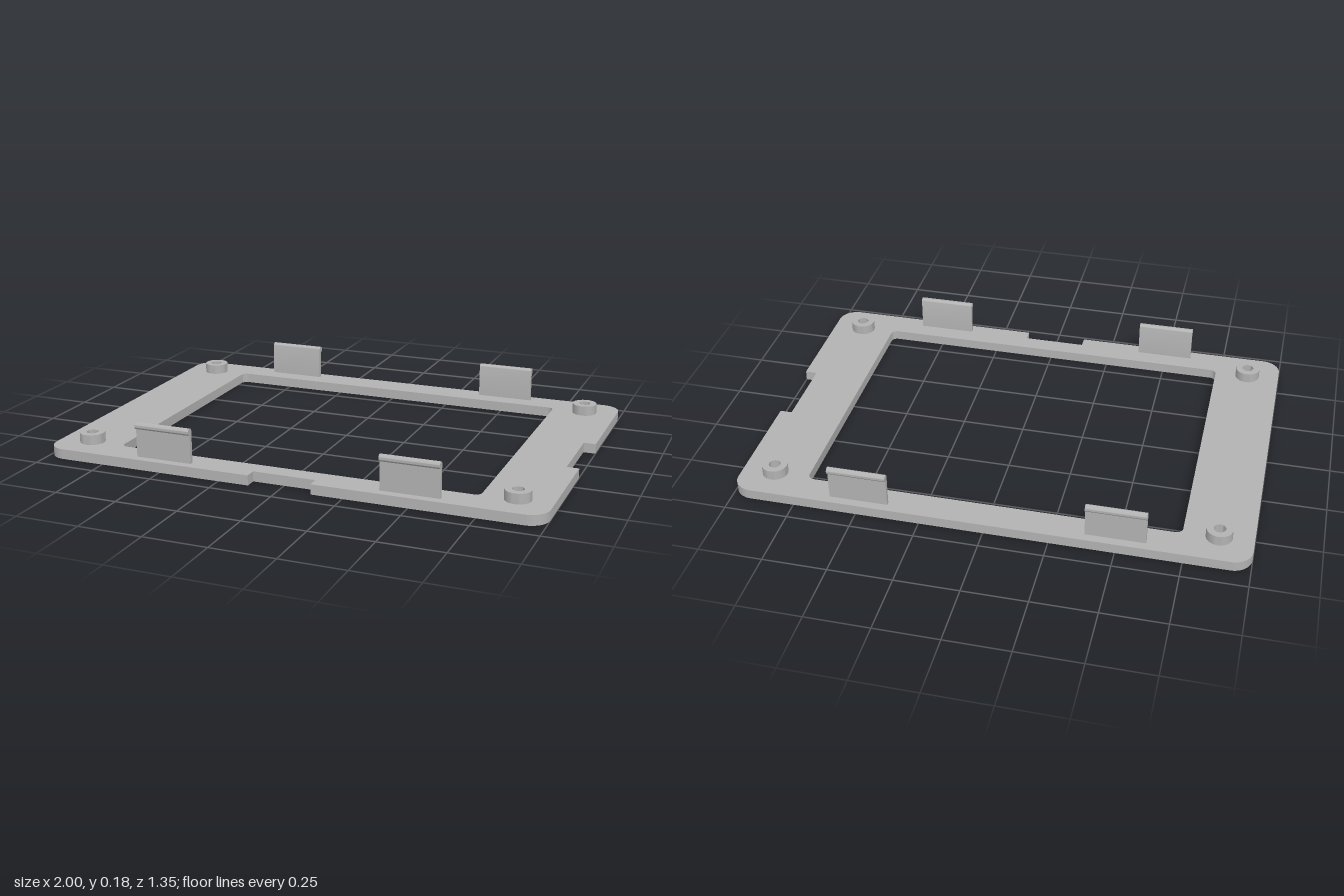
import * as THREE from 'three';
import { toCreasedNormals } from 'three/addons/utils/BufferGeometryUtils.js';

const PLATE = 0.04, HX = 1, HZ = 0.677;

// Rectangle with rounded corners, traced as a closed outline
function roundedRect(path, hx, hy, r) {
  path.moveTo(-hx + r, -hy);
  path.lineTo(hx - r, -hy);
  path.absarc(hx - r, -hy + r, r, -Math.PI / 2, 0);
  path.lineTo(hx, hy - r);
  path.absarc(hx - r, hy - r, r, 0, Math.PI / 2);
  path.lineTo(-hx + r, hy);
  path.absarc(-hx + r, hy - r, r, Math.PI / 2, Math.PI);
  path.lineTo(-hx, -hy + r);
  path.absarc(-hx + r, -hy + r, r, Math.PI, Math.PI * 1.5);
  return path;
}

// Flat frame with a window and two edge notches (shape y is -z)
function frameGeometry() {
  const r = 0.075, s = new THREE.Shape();
  s.moveTo(-HX + r, -HZ);
  // front notch
  s.lineTo(-0.126, -HZ);
  s.lineTo(-0.126, -0.63);
  s.lineTo(0.126, -0.63);
  s.lineTo(0.126, -HZ);
  s.lineTo(HX - r, -HZ);
  s.absarc(HX - r, -HZ + r, r, -Math.PI / 2, 0);
  // side notch
  s.lineTo(HX, -0.151);
  s.lineTo(0.952, -0.151);
  s.lineTo(0.952, 0.151);
  s.lineTo(HX, 0.151);
  s.lineTo(HX, HZ - r);
  s.absarc(HX - r, HZ - r, r, 0, Math.PI / 2);
  s.lineTo(-HX + r, HZ);
  s.absarc(-HX + r, HZ - r, r, Math.PI / 2, Math.PI);
  s.lineTo(-HX, -HZ + r);
  s.absarc(-HX + r, -HZ + r, r, Math.PI, Math.PI * 1.5);
  s.holes.push(roundedRect(new THREE.Path(), 0.733, 0.556, 0.025));
  const g = new THREE.ExtrudeGeometry(s, { depth: PLATE, bevelEnabled: false, curveSegments: 12 });
  return toCreasedNormals(g.rotateX(-Math.PI / 2), 0.6);
}

// Upright tab with a rounded bead on its outer side, profile in (z, y)
function clipGeometry() {
  const length = 0.23, inner = 0.628, outer = 0.6435, r = 0.014, cy = 0.166;
  const s = new THREE.Shape();
  s.moveTo(inner, PLATE);
  s.lineTo(outer, PLATE);
  s.lineTo(outer, cy - r);
  s.absarc(inner + r, cy, r, -Math.PI / 2 + 0.1, Math.PI);
  s.lineTo(inner, PLATE);
  const g = new THREE.ExtrudeGeometry(s, { depth: length, bevelEnabled: false, curveSegments: 16 });
  return toCreasedNormals(g.translate(0, 0, -length / 2).rotateY(-Math.PI / 2), 0.6);
}

// Round boss with a blind hole
function bossGeometry() {
  const profile = [[0.05, PLATE], [0.05, 0.08], [0.023, 0.08], [0.023, PLATE + 0.001], [0, PLATE + 0.001]];
  const g = new THREE.LatheGeometry(profile.map(([x, y]) => new THREE.Vector2(x, y)), 32);
  return toCreasedNormals(g, 0.6);
}

export function createModel() {
  const model = new THREE.Group();
  model.name = 'bezelFrame';
  const grey = new THREE.MeshStandardMaterial({ color: 0xb2b2b2 });
  grey.name = 'grey plastic';

  const add = (geometry, name) => {
    const mesh = new THREE.Mesh(geometry, grey);
    mesh.name = name;
    model.add(mesh);
    return mesh;
  };

  add(frameGeometry(), 'frame');

  const clip = clipGeometry(), boss = bossGeometry();
  for (const sz of [1, -1]) {
    for (const sx of [1, -1]) {
      const where = (sz > 0 ? 'front' : 'back') + (sx > 0 ? 'Left' : 'Right');
      const tab = add(clip, where + 'Clip');
      tab.position.x = sx * 0.496;
      if (sz < 0) tab.rotation.y = Math.PI;
      add(boss, where + 'Boss').position.set(sx * 0.868, 0, sz * 0.546);
    }
  }
  return model;
}
